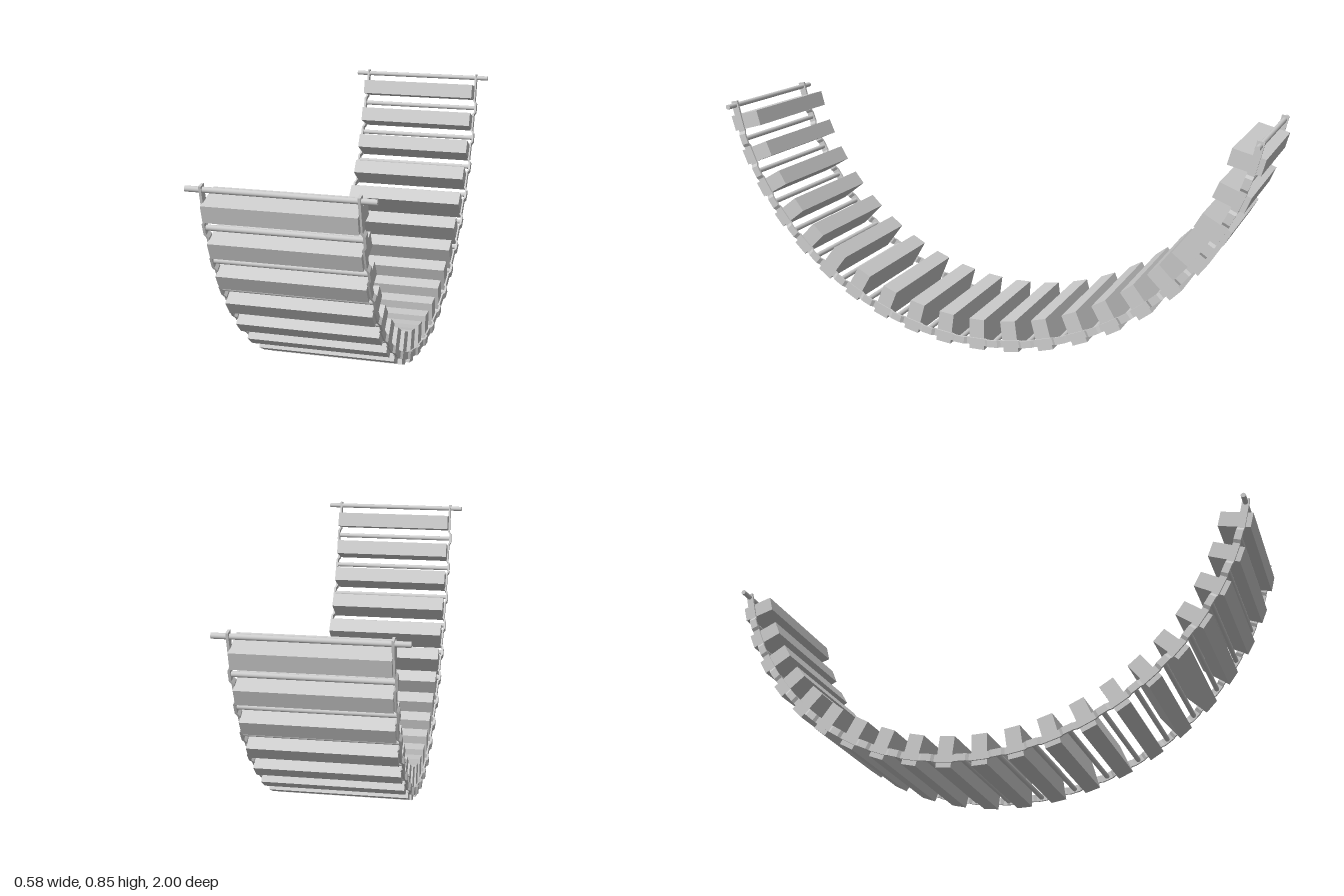
import * as THREE from 'three';

const CENTER_Y = 1.028;                 // centre of the hanging arc
const RADIUS = 0.997;                   // strap and rod radius
const STEP = THREE.MathUtils.degToRad(7.5);
const SLATS_PER_SIDE = 10;
const END = STEP * 10.5;
const material = new THREE.MeshStandardMaterial({ color: 0xcccccc });

// Put an object on the arc, its local y pointing towards the arc centre
function placeOnArc(object, angle, radius) {
  object.position.set(0, CENTER_Y - radius * Math.cos(angle), radius * Math.sin(angle));
  object.rotation.x = -angle;
  return object;
}

function makeRod(name, length, angle) {
  const geometry = new THREE.CylinderGeometry(0.009, 0.009, length, 16);
  geometry.rotateZ(Math.PI / 2);
  const rod = new THREE.Mesh(geometry, material);
  rod.name = name;
  return placeOnArc(rod, angle, RADIUS);
}

// Flat strap swept along the arc, bulging outwards round each rod end
function strapGeometry(side) {
  const deg = Math.PI / 180;
  const stations = [[-END - 0.9 * deg, 0], [-END, 0]];
  for (let i = -SLATS_PER_SIDE; i < SLATS_PER_SIDE; i++) {
    const a = (i + 0.5) * STEP;
    stations.push([a - 2.6 * deg, 0], [a - 1.7 * deg, 0], [a - 1.1 * deg, 0.007], [a, 0.007],
      [a + 1.1 * deg, 0.007], [a + 1.7 * deg, 0], [a + 2.6 * deg, 0]);
  }
  stations.push([END, 0], [END + 0.9 * deg, 0]);

  const positions = [], index = [];
  const corners = [[0.235, -0.013], [0.243, -0.013], [0.243, 0.013], [0.235, 0.013]];
  for (const [a, bulge] of stations) {
    for (const [x, dr] of corners) {
      const r = RADIUS + dr;
      positions.push(side * (x + bulge), CENTER_Y - r * Math.cos(a), r * Math.sin(a));
    }
  }
  const quad = (a, b, c, d) => (side > 0
    ? index.push(a, c, b, a, d, c) : index.push(a, b, c, a, c, d));
  for (let s = 0; s < stations.length - 1; s++) {
    for (let k = 0; k < 4; k++) {
      const n = (k + 1) % 4;
      quad(s * 4 + k, s * 4 + n, s * 4 + 4 + n, s * 4 + 4 + k);
    }
  }
  const e = (stations.length - 1) * 4;
  quad(3, 2, 1, 0);
  quad(e, e + 1, e + 2, e + 3);
  const geometry = new THREE.BufferGeometry();
  geometry.setAttribute('position', new THREE.Float32BufferAttribute(positions, 3));
  geometry.setIndex(index);
  const flat = geometry.toNonIndexed();
  flat.computeVertexNormals();
  return flat;
}

export function createModel() {
  const model = new THREE.Group();
  model.name = 'hangingSlatBridge';

  // Planks standing on edge, pointing towards the arc centre
  const slats = new THREE.Group();
  slats.name = 'slats';
  const slatGeometry = new THREE.BoxGeometry(0.474, 0.115, 0.057);
  for (let i = -SLATS_PER_SIDE; i <= SLATS_PER_SIDE; i++) {
    const slat = new THREE.Mesh(slatGeometry, material);
    slat.name = 'slat';
    slats.add(placeOnArc(slat, i * STEP, CENTER_Y - 0.0575));
  }

  // Thin rods in the gaps between the planks
  const rods = new THREE.Group();
  rods.name = 'spacerRods';
  for (let i = -SLATS_PER_SIDE; i < SLATS_PER_SIDE; i++) {
    rods.add(makeRod('spacerRod', 0.488, (i + 0.5) * STEP));
  }
  model.add(slats, rods);

  // Longer rods at both ends
  model.add(makeRod('frontEndRod', 0.58, END), makeRod('backEndRod', 0.58, -END));

  // Side straps
  const strapMaterial = material.clone();
  strapMaterial.side = THREE.DoubleSide;
  for (const side of [1, -1]) {
    const strap = new THREE.Mesh(strapGeometry(side), strapMaterial);
    strap.name = side > 0 ? 'leftStrap' : 'rightStrap';
    model.add(strap);
  }
  return model;
}
